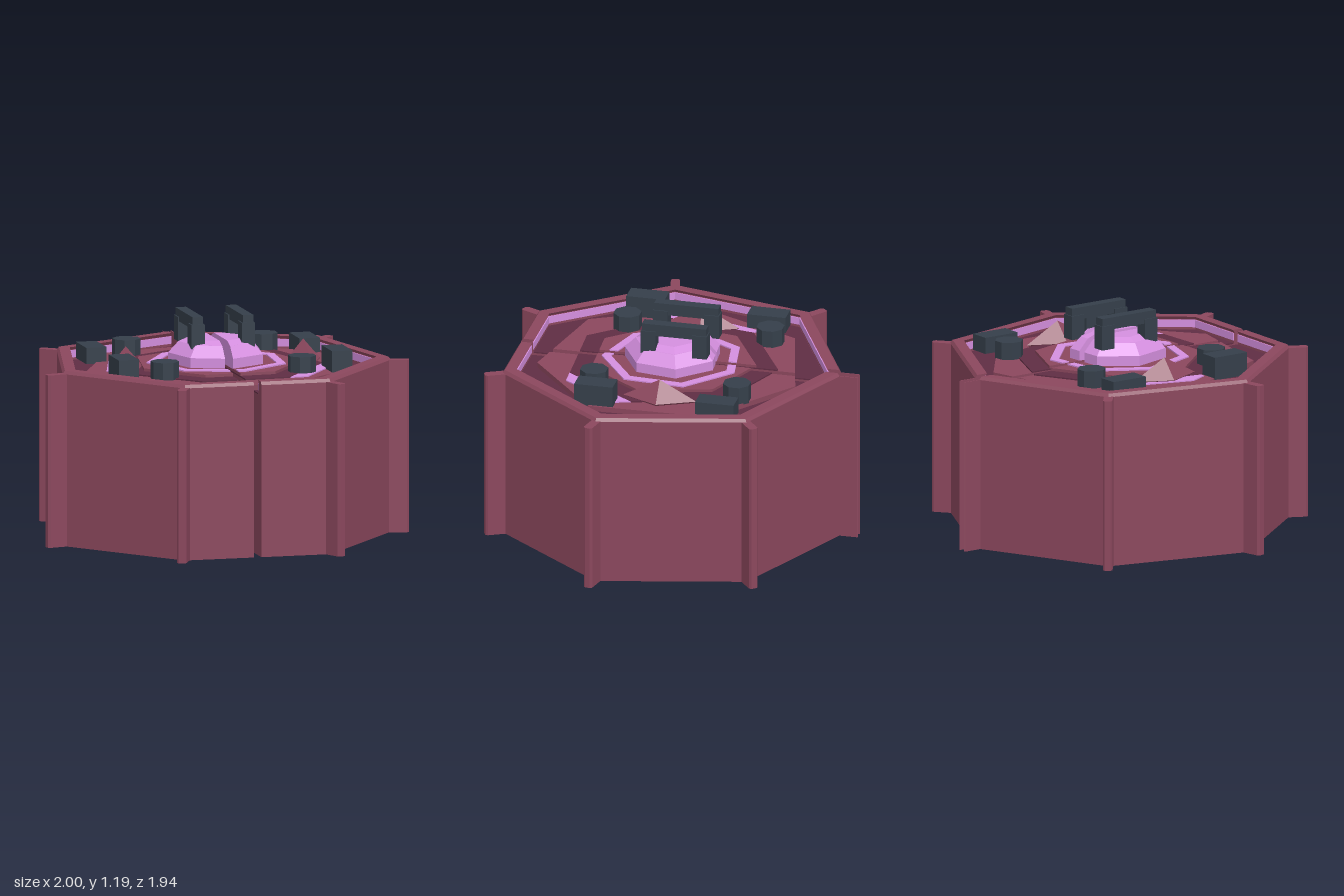
import * as THREE from 'three';

const CZ = 0.046;   // centre of the heptagon along z
const GAP = 0.02;   // half the width of the slit between the two halves

const mat = (name, color) => Object.assign(new THREE.MeshStandardMaterial({ color, flatShading: true }), { name });

// Heptagon corners as [x, z]; turn 0 points a corner to the back
function heptagon(r, turn = 0) {
  return Array.from({ length: 7 }, (_, i) => {
    const a = THREE.MathUtils.degToRad(turn) + i * Math.PI * 2 / 7;
    return [r * Math.sin(a), CZ - r * Math.cos(a)];
  });
}

// Part of a convex outline on one side of the slit, starting at the cut
function clip(points, side) {
  const out = [];
  let start = 0;
  points.forEach((p, i) => {
    const q = points[(i + 1) % points.length];
    const dp = p[0] * side - GAP, dq = q[0] * side - GAP;
    if (dp >= 0) out.push(p);
    if (dp * dq < 0) {
      const t = dp / (dp - dq);
      if (dp < 0) start = out.length;
      out.push([p[0] + (q[0] - p[0]) * t, p[1] + (q[1] - p[1]) * t]);
    }
  });
  return [...out.slice(start), ...out.slice(0, start)];
}

export function createModel() {
  const model = new THREE.Group();
  model.name = 'splitHeptagonCrate';
  const maroon = mat('maroon', 0x8b475d);
  const wine = mat('dark wine', 0x602d44);
  const orchid = mat('orchid', 0xd58fdf);
  const slate = mat('slate', 0x353f4a);

  const add = (parent, name, geometry, material, x = 0, y = 0, z = 0) => {
    const mesh = new THREE.Mesh(geometry, material);
    mesh.name = name;
    mesh.position.set(x, y, z);
    parent.add(mesh);
    return mesh;
  };

  for (const side of [1, -1]) {
    const half = new THREE.Group();
    half.name = side > 0 ? 'leftHalf' : 'rightHalf';
    model.add(half);

    // Slab or open ring cut at the slit; taper shrinks its top
    const slab = (name, material, outline, y0, y1, { hole = null, taper = 1 } = {}) => {
      let pts = clip(outline, side);
      if (pts.length < 3) return;
      if (hole) pts = [...pts, ...clip(hole, side).reverse()];
      const shape = new THREE.Shape(pts.map(([x, z]) => new THREE.Vector2(x, -z)));
      const g = new THREE.ExtrudeGeometry(shape, { depth: y1 - y0, bevelEnabled: false });
      g.rotateX(-Math.PI / 2).translate(0, y0, 0);
      const p = g.attributes.position;
      for (let i = 0; i < p.count; i++) {
        if (p.getY(i) < (y0 + y1) / 2) continue;
        p.setX(i, side * GAP + (p.getX(i) - side * GAP) * taper);
        p.setZ(i, CZ + (p.getZ(i) - CZ) * taper);
      }
      g.computeVertexNormals();
      add(half, name, g, material);
    };

    // Body, raised rim and recessed floor
    slab('body', maroon, heptagon(0.926), 0, 0.865);
    slab('rimWall', maroon, heptagon(0.926), 0.865, 0.925, { hole: heptagon(0.855) });
    slab('rimTop', maroon, heptagon(0.926), 0.925, 0.942, { hole: heptagon(0.862), taper: 0.985 });
    slab('wallStrip', orchid, heptagon(0.855), 0.885, 0.925, { hole: heptagon(0.849) });
    slab('floor', wine, heptagon(0.85), 0.865, 0.872);

    // Twisted stack of lid plates
    slab('outerPlate', maroon, heptagon(0.72, 12), 0.872, 0.9);
    slab('groove', wine, heptagon(0.567, -3), 0.9, 0.907);
    slab('innerPlate', maroon, heptagon(0.45, -3), 0.907, 0.922);
    slab('glowRing', orchid, heptagon(0.38, 17), 0.922, 0.929, { hole: heptagon(0.33, 17) });
    const glow = side > 0
      ? [[0.56, 0.14], [0.585, 0.23], [0.37, 0.54], [0.27, 0.545]]
      : [[-0.46, -0.28], [-0.545, 0.2], [-0.57, 0.2], [-0.62, 0.1], [-0.5, -0.3]];
    slab('glowPanel', orchid, glow, 0.9, 0.906);

    // Faceted dome
    slab('domeBase', orchid, heptagon(0.26, 22), 0.92, 0.975);
    slab('domeShoulder', orchid, heptagon(0.26, 22), 0.975, 1.035, { taper: 0.77 });
    slab('domeCap', orchid, heptagon(0.2, 22), 1.035, 1.055, { taper: 0.7 });

    // Corner posts with chamfered edges
    for (let i = 0; i < 7; i++) {
      const a = i * Math.PI * 2 / 7, s = Math.sin(a), c = Math.cos(a);
      const post = [[-0.025, 0.88], [-0.025, 1.01], [-0.016, 1.022], [0.016, 1.022], [0.025, 1.01], [0.025, 0.88]]
        .map(([w, r]) => [r * s + w * c, CZ - r * c + w * s]);
      slab('cornerPost', maroon, post, 0, 0.927);
    }

    // Carrying handle
    const handle = new THREE.Group();
    handle.name = 'handle';
    handle.position.x = side * 0.138;
    half.add(handle);
    add(handle, 'handleBar', new THREE.BoxGeometry(0.058, 0.065, 0.35), slate, 0, 1.153, 0);
    for (const z of [-0.14, 0.14])
      add(handle, 'handleLeg', new THREE.BoxGeometry(0.072, 0.13, 0.08), slate, 0, 1.08, z);

    // Latches and bolts
    for (const [z, top] of [[-0.335, 0.978], [0.325, 1.014]])
      add(half, 'latch', new THREE.BoxGeometry(0.112, top - 0.89, 0.21), slate, side * 0.586, (top + 0.89) / 2, z);
    for (const z of [-0.395, 0.385]) {
      const bolt = new THREE.CylinderGeometry(0.076, 0.076, 0.1, 8).rotateY(Math.PI / 8);
      add(half, 'bolt', bolt, slate, side * 0.377, 0.943, z);
    }

    // Pointed crystal stud
    const stud = add(half, 'stud', new THREE.OctahedronGeometry(1), maroon, side * 0.488, 0.91, 0);
    stud.scale.set(0.092, 0.107, 0.2);
  }
  return model;
}
